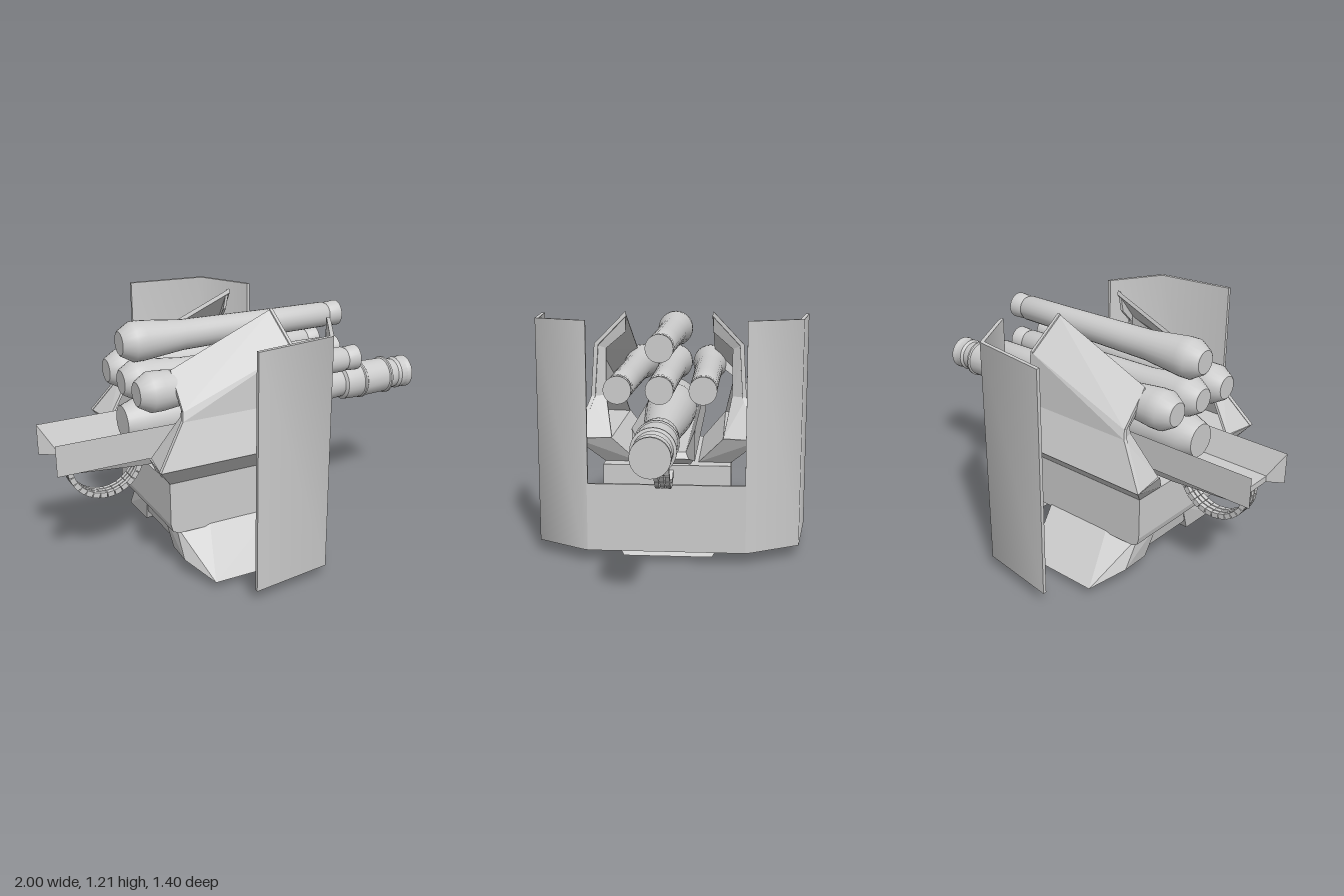
import * as THREE from 'three';
import { toCreasedNormals } from 'three/addons/utils/BufferGeometryUtils.js';
import { ConvexGeometry } from 'three/addons/geometries/ConvexGeometry.js';

const grey = new THREE.MeshStandardMaterial({ color: 0xcccccc, side: THREE.DoubleSide });

function add(parent, name, geometry) {
  const mesh = new THREE.Mesh(geometry, grey);
  mesh.name = name;
  parent.add(mesh);
  return mesh;
}

// Faceted solid around corner points, optionally mirrored across z
function solid(points, side = 1) {
  return new ConvexGeometry(points.map(([x, y, z]) => new THREE.Vector3(x, y, z * side)));
}
const bothSides = (points) => points.flatMap(([x, y, z]) => [[x, y, z], [x, y, -z]]);

// Sheet of armour: a quad thickened by an offset
function plate(quad, offset, side) {
  return solid([...quad, ...quad.map((p) => p.map((v, i) => v + offset[i]))], side);
}

// Turned tube along x from [x, radius] pairs
function turned(profile) {
  const first = profile[0], last = profile[profile.length - 1];
  const pts = [[first[0], 0], ...profile, [last[0], 0]].map(([x, r]) => new THREE.Vector2(r, x));
  return toCreasedNormals(new THREE.LatheGeometry(pts, 24).rotateZ(-Math.PI / 2), 0.6);
}

// Plan outline in x and z, extruded upwards, smooth around its bends
function upright(outline, y0, y1) {
  const shape = new THREE.Shape(outline.map(([x, z]) => new THREE.Vector2(x, -z)));
  const geo = new THREE.ExtrudeGeometry(shape, { depth: y1 - y0, bevelEnabled: false });
  return toCreasedNormals(geo.rotateX(-Math.PI / 2).translate(0, y0, 0), 1.1);
}

export function createModel() {
  const model = new THREE.Group();
  model.name = 'gunTurret';

  // Large wrap-around shield: two tall wings joined by a low front band
  const shield = new THREE.Group();
  shield.name = 'frontShield';
  model.add(shield);
  for (const s of [1, -1]) {
    const outline = [
      [-0.29, 0.70], [0.105, 0.65], [0.245, 0.41], [0.255, 0.38],
      [0.24, 0.38], [0.23, 0.40], [0.095, 0.632], [-0.29, 0.682],
    ].map(([x, z]) => [x, z * s]);
    add(shield, 'shieldWing', upright(outline, 0.06, 1.18));
  }
  add(shield, 'shieldBand', new THREE.BoxGeometry(0.016, 0.335, 0.77)).position.set(0.247, 0.2275, 0);

  // Lower lip under the front
  add(model, 'lowerLip', solid(bothSides([
    [0.0, 0.2, 0.27], [0.02, 0.2, 0.27], [0.1, 0.06, 0.26], [0.115, 0.06, 0.26], [0.145, 0, 0.22],
  ])));

  // Flared base: two skirts with a raised middle, and the block above
  for (const s of [1, -1]) {
    add(model, 'baseSkirt', solid([
      [-0.40, 0.035, 0.51], [-0.02, 0.035, 0.51], [0, 0.05, 0.45],
      [-0.48, 0.09, 0.34], [-0.46, 0.07, 0.17], [0.05, 0.06, 0.2],
      [-0.33, 0.23, 0.31], [-0.48, 0.23, 0.25], [0.03, 0.23, 0.31],
      [-0.48, 0.23, 0.1], [0.05, 0.23, 0.1],
    ], s));
  }
  add(model, 'baseMiddle', solid(bothSides([
    [-0.48, 0.23, 0.17], [0.05, 0.23, 0.17], [-0.46, 0.12, 0.14], [0.05, 0.12, 0.14],
  ])));
  add(model, 'bodyBlock', solid(bothSides([
    [-0.53, 0.48, 0.31], [-0.53, 0.27, 0.31], [-0.52, 0.235, 0.31], [-0.49, 0.22, 0.31],
    [0.2, 0.48, 0.31], [0.2, 0.27, 0.31], [0.16, 0.22, 0.31],
  ])));

  // Cheek armour on each side
  for (const s of [1, -1]) {
    const cheek = new THREE.Group();
    cheek.name = s > 0 ? 'leftCheekArmour' : 'rightCheekArmour';
    model.add(cheek);
    add(cheek, 'cheekFloor', solid([
      [-0.63, 0.61, 0.45], [0.21, 0.61, 0.45], [-0.61, 0.61, 0.27], [0.19, 0.61, 0.27],
      [-0.53, 0.48, 0.31], [0.12, 0.48, 0.31], [-0.53, 0.48, 0.15], [0.12, 0.48, 0.15],
    ], s));
    // Roof, upright side and flared skirt, listed from top to bottom along each end
    const rear = [[-0.47, 0.99, 0.215], [-0.48, 0.84, 0.365], [-0.49, 0.80, 0.38], [-0.63, 0.61, 0.45]];
    const front = [[0.05, 1.21, 0.215], [0.085, 1.055, 0.365], [0.1, 0.80, 0.38], [0.21, 0.61, 0.45]];
    ['cheekRoof', 'cheekSide', 'cheekSkirt'].forEach((name, i) => {
      const offset = i === 0 ? [0, -0.02, -0.005] : [0, 0, -0.02];
      add(cheek, name, plate([rear[i], rear[i + 1], front[i + 1], front[i]], offset, s));
    });
    // Flanges folded inwards at both ends
    const frontInner = [[0.03, 1.11, 0.215], [0.055, 1.03, 0.31], [0.07, 0.80, 0.31], [0.18, 0.61, 0.27]];
    const rearInner = [[-0.46, 0.91, 0.215], [-0.465, 0.83, 0.31], [-0.47, 0.80, 0.31], [-0.6, 0.61, 0.27]];
    for (let i = 0; i < 3; i++) {
      add(cheek, 'frontFlange', plate([front[i], front[i + 1], frontInner[i + 1], frontInner[i]], [-0.015, 0, 0], s));
      add(cheek, 'rearFlange', plate([rear[i], rear[i + 1], rearInner[i + 1], rearInner[i]], [0.015, 0, 0], s));
    }
  }

  // Ammunition tray: wedge-shaped walls on a floor that deepens in the middle
  const tray = new THREE.Group();
  tray.name = 'ammunitionTray';
  model.add(tray);
  for (const s of [1, -1]) {
    add(tray, 'trayWall', solid([
      [-1, 0.55, 0.145], [-1, 0.70, 0.145], [0.41, 0.55, 0.145], [0.41, 0.70, 0.145],
      [-0.93, 0.58, 0.1], [0.35, 0.58, 0.1], [-0.93, 0.55, 0.1], [0.35, 0.55, 0.1],
    ], s));
  }
  add(tray, 'trayFloor', solid(bothSides([
    [-0.93, 0.58, 0.1], [0.35, 0.58, 0.1], [-0.93, 0.55, 0.14], [0.37, 0.55, 0.14],
    [-0.57, 0.51, 0.12], [0.3, 0.51, 0.12],
  ])));

  // Main gun with stepped muzzle
  add(model, 'mainGun', turned([
    [-0.63, 0.08], [-0.56, 0.105], [-0.42, 0.108], [-0.2, 0.13], [0.02, 0.12], [0.25, 0.1],
    [0.45, 0.083], [0.58, 0.074], [0.59, 0.09], [0.63, 0.093], [0.69, 0.093], [0.695, 0.099],
    [0.705, 0.099], [0.71, 0.093], [0.85, 0.09], [0.855, 0.098], [0.865, 0.098], [0.87, 0.085],
    [0.92, 0.076], [0.935, 0.085], [0.975, 0.08], [0.985, 0.085], [1, 0.085],
  ])).position.set(0, 0.695, 0.005);

  // Four secondary tubes
  const tube = turned([
    [-0.63, 0.055], [-0.625, 0.062], [-0.57, 0.094], [-0.52, 0.094], [-0.32, 0.072], [-0.2, 0.07],
    [0.2, 0.064], [0.46, 0.062], [0.475, 0.055], [0.485, 0.06], [0.54, 0.063],
  ]);
  for (const [y, z] of [[1.08, 0.008], [0.895, 0.008], [0.895, 0.195], [0.895, -0.185]]) {
    add(model, 'secondaryTube', tube).position.set(0, y, z);
  }

  // Hanging cartridge belts, three links abreast
  const link = new THREE.BoxGeometry(0.033, 0.026, 0.021);
  for (const [x, y] of [[-0.735, 0.535], [0.3, 0.585]]) {
    const belt = new THREE.Group();
    belt.name = 'cartridgeBelt';
    belt.position.set(x, y, 0.005);
    model.add(belt);
    for (let i = 0; i <= 15; i++) {
      const a = Math.PI * (1 + i / 15);
      for (const z of [-0.026, 0, 0.026]) {
        const part = add(belt, 'beltLink', link);
        part.position.set(Math.cos(a) * 0.176, Math.sin(a) * 0.176, z);
        part.rotation.z = a + Math.PI / 2;
      }
    }
  }
  return model;
}
